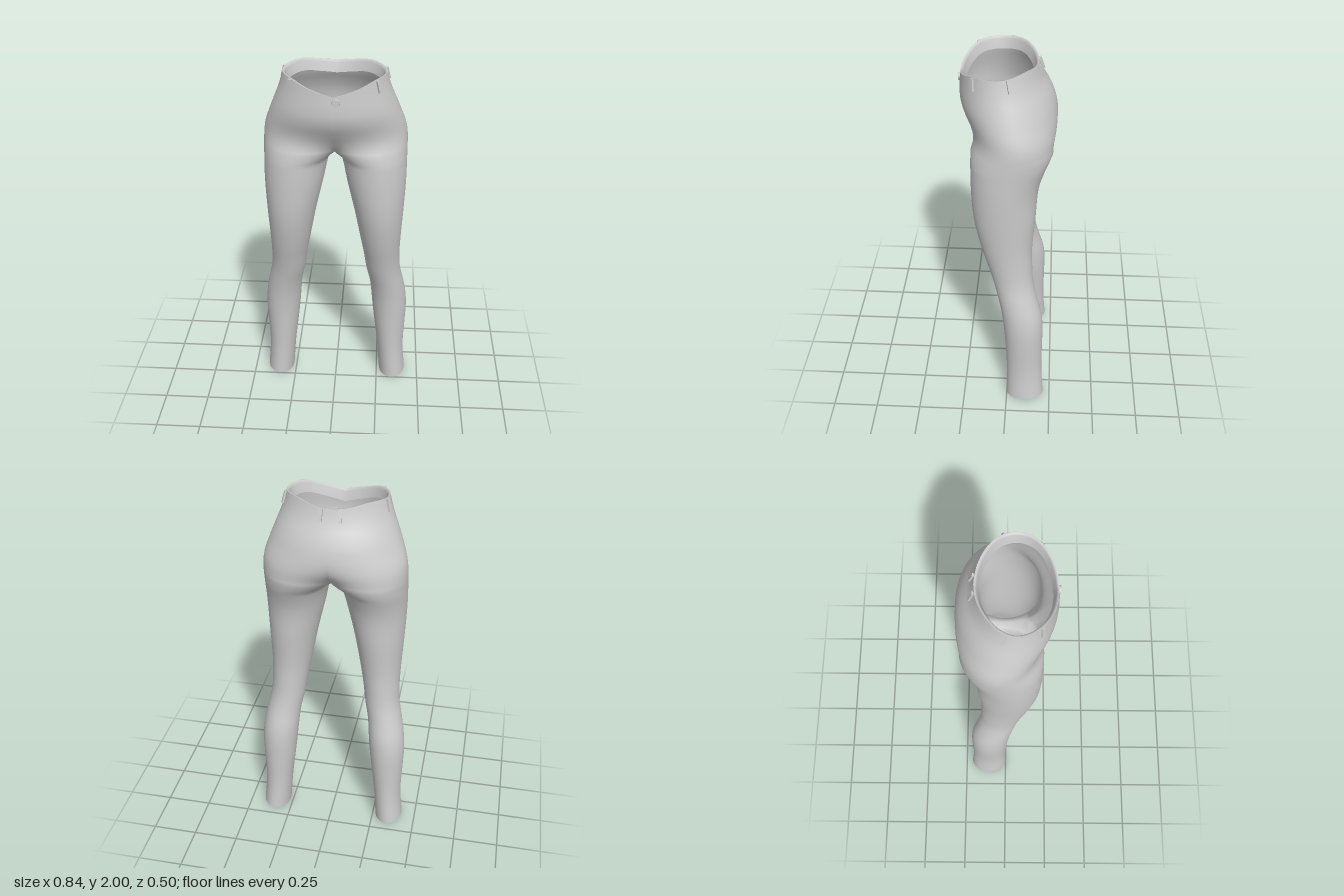
import * as THREE from 'three';
import { mergeVertices } from 'three/addons/utils/BufferGeometryUtils.js';

// Profile from hem to waist: height, outer x, front z, back z, inner x of the leg
const PROFILE = [
  [0.00, 0.422, 0.000, -0.212, 0.266],
  [0.20, 0.407, 0.000, -0.200, 0.250],
  [0.40, 0.412, 0.010, -0.200, 0.226],
  [0.50, 0.414, 0.018, -0.200, 0.215],
  [0.60, 0.406, 0.030, -0.190, 0.206],
  [0.70, 0.387, 0.050, -0.162, 0.195],
  [0.80, 0.366, 0.076, -0.141, 0.174],
  [0.90, 0.360, 0.104, -0.134, 0.160],
  [1.00, 0.361, 0.134, -0.131, 0.142],
  [1.20, 0.370, 0.177, -0.145, 0.104],
  [1.40, 0.377, 0.190, -0.162, 0.058],
  [1.50, 0.377, 0.190, -0.195, 0.036],
  [1.57, 0.377, 0.190, -0.227, 0.008],
  [1.65, 0.373, 0.197, -0.252, 0],
  [1.70, 0.363, 0.213, -0.250, 0],
  [1.75, 0.345, 0.235, -0.240, 0],
  [1.80, 0.326, 0.249, -0.226, 0],
  [1.85, 0.306, 0.251, -0.203, 0],
  [1.90, 0.286, 0.248, -0.174, 0],
  [1.95, 0.270, 0.245, -0.153, 0],
  [2.00, 0.258, 0.243, -0.138, 0],
];
// Waist edge height by angle: 0 is the front centre, PI the back centre
const RIM = [[0, 1.92], [0.45, 1.952], [0.9, 1.983], [1.6, 1.99], [2.4, 2], [2.8, 1.985], [Math.PI, 1.975]];

const sampler = (table) => {
  const curve = new THREE.CubicInterpolant(
    table.map((r) => r[0]), table.flatMap((r) => r.slice(1)), table[0].length - 1);
  return (t) => [...curve.evaluate(t)];
};
const profile = sampler(PROFILE);
const rim = sampler(RIM);

const CROTCH = 1.57;
const OPEN = THREE.MathUtils.degToRad(55); // thigh angle where the centre seam sits
const OUTER = 36, INNER = 12;
const lerp = THREE.MathUtils.lerp;

// Hip surface: an ellipse at the waist that turns into two thigh arcs at the crotch
function hipPoint(a, y) {
  const [xo, zf, zb] = profile(y);
  const cz = (zf + zb) / 2, rz = (zf - zb) / 2;
  const w = Math.min(1, Math.max(0, (1.8 - y) / (1.8 - CROTCH))) ** 3;
  const rx = xo / (1 + Math.sin(OPEN));
  const phi = -OPEN + (Math.PI + 2 * OPEN) * (a / Math.PI);
  return new THREE.Vector3(
    lerp(xo * Math.sin(a), rx * (Math.sin(OPEN) + Math.sin(phi)), w),
    y, cz + rz * lerp(Math.cos(a), Math.cos(phi), w));
}

function hipRow(v) {
  return Array.from({ length: OUTER + 1 }, (_, j) => {
    const a = Math.PI * j / OUTER;
    return hipPoint(a, lerp(rim(a)[0], CROTCH, v));
  });
}

// Closed leg section; the lowest one gets the slanted hem
function legRow(y) {
  const [xo, zf, zb, xi] = profile(y);
  const row = [];
  for (let j = 0; j <= OUTER + INNER; j++) {
    const phi = j <= OUTER
      ? -OPEN + (Math.PI + 2 * OPEN) * j / OUTER
      : Math.PI + OPEN + (Math.PI - 2 * OPEN) * (j - OUTER) / INNER;
    const x = (xo + xi) / 2 + (xo - xi) / 2 * Math.sin(phi);
    const z = (zf + zb) / 2 + (zf - zb) / 2 * Math.cos(phi);
    const slant = 0.01 * ((x - xi) / (xo - xi) + (zf - z) / (zf - zb));
    row.push(new THREE.Vector3(x, y + slant * Math.max(0, 1 - y / 0.1), z));
  }
  return row;
}

// Top of the leg: the hip's last row, closed by the saddle between the legs
function crotchRow() {
  const row = hipRow(1);
  const front = row[0], back = row[OUTER];
  for (let k = 1; k <= INNER; k++) {
    const t = k / INNER;
    row.push(new THREE.Vector3(0, CROTCH - 0.03 * Math.sin(Math.PI * t), lerp(back.z, front.z, t)));
  }
  return row;
}

// Skins lists of rows and their mirror images as one welded surface
function skin(name, patches, material) {
  const pos = [], idx = [];
  for (const side of [1, -1]) {
    for (const rows of patches) {
      const base = pos.length / 3, n = rows[0].length;
      rows.forEach((row) => row.forEach((p) => pos.push(side * p.x, p.y, p.z)));
      for (let r = 0; r < rows.length - 1; r++) {
        for (let j = 0; j < n - 1; j++) {
          const a = base + r * n + j, b = a + 1, c = a + n, d = c + 1;
          if (side > 0) idx.push(a, c, b, b, c, d);
          else idx.push(a, b, c, b, d, c);
        }
      }
    }
  }
  let geo = new THREE.BufferGeometry();
  geo.setAttribute('position', new THREE.Float32BufferAttribute(pos, 3));
  geo.setIndex(idx);
  geo = mergeVertices(geo);
  geo.computeVertexNormals();
  const mesh = new THREE.Mesh(geo, material);
  mesh.name = name;
  return mesh;
}

export function createModel() {
  const group = new THREE.Group();
  group.name = 'trousers';
  const cloth = new THREE.MeshStandardMaterial({ color: 0xcccccc, side: THREE.DoubleSide });
  const solid = new THREE.MeshStandardMaterial({ color: 0xcccccc });

  // Hips and both legs
  const hips = Array.from({ length: 21 }, (_, r) => hipRow(r / 20));
  const legs = [crotchRow(), legRow(1.525), legRow(1.5)];
  for (let y = 1.46; y > 0.01; y -= 0.04) legs.push(legRow(y));
  legs.push(legRow(0));
  group.add(skin('trouserBody', [hips, legs], cloth));

  // Folded inside of the waistband
  const waist = hips[0];
  const inset = (d, drop) => waist.map((p) => {
    const r = Math.hypot(p.x, p.z - 0.05);
    return new THREE.Vector3(p.x * (1 - d / r), p.y - drop, 0.05 + (p.z - 0.05) * (1 - d / r));
  });
  group.add(skin('waistbandLining', [[inset(0.026, 0.06), inset(0.014, 0.012), inset(0.008, 0), waist]], cloth));

  // Turned-in hems
  const hem = legs[legs.length - 1];
  const turned = (s, lift) => hem.map((p) => new THREE.Vector3(
    0.344 + (p.x - 0.344) * s, p.y + lift, -0.106 + (p.z + 0.106) * s));
  group.add(skin('hemLining', [[hem, turned(0.94, 0.002), turned(0.92, 0.03)]], cloth));

  // Belt loops following the slope of the waistband
  const loopGeo = new THREE.BoxGeometry(0.017, 0.062, 0.01);
  for (const angle of [0.93, 1.85, 2.97]) {
    for (const a of [angle, -angle]) {
      const top = rim(Math.abs(a))[0] - 0.004;
      const mid = hipPoint(a, top - 0.03);
      const up = hipPoint(a, top).sub(hipPoint(a, top - 0.06)).normalize();
      const across = hipPoint(a + 0.02, mid.y).sub(hipPoint(a - 0.02, mid.y)).normalize();
      const out = across.clone().cross(up).normalize();
      across.crossVectors(up, out);
      const loop = new THREE.Mesh(loopGeo, solid);
      loop.name = 'beltLoop';
      loop.quaternion.setFromRotationMatrix(new THREE.Matrix4().makeBasis(across, up, out));
      loop.position.copy(mid).addScaledVector(out, 0.007);
      group.add(loop);
    }
  }

  // Front button
  const button = new THREE.Mesh(new THREE.CylinderGeometry(0.019, 0.021, 0.01, 20), solid);
  button.name = 'button';
  button.rotation.x = Math.PI / 2;
  button.position.set(0.016, 1.893, 0.25);
  group.add(button);

  return group;
}
